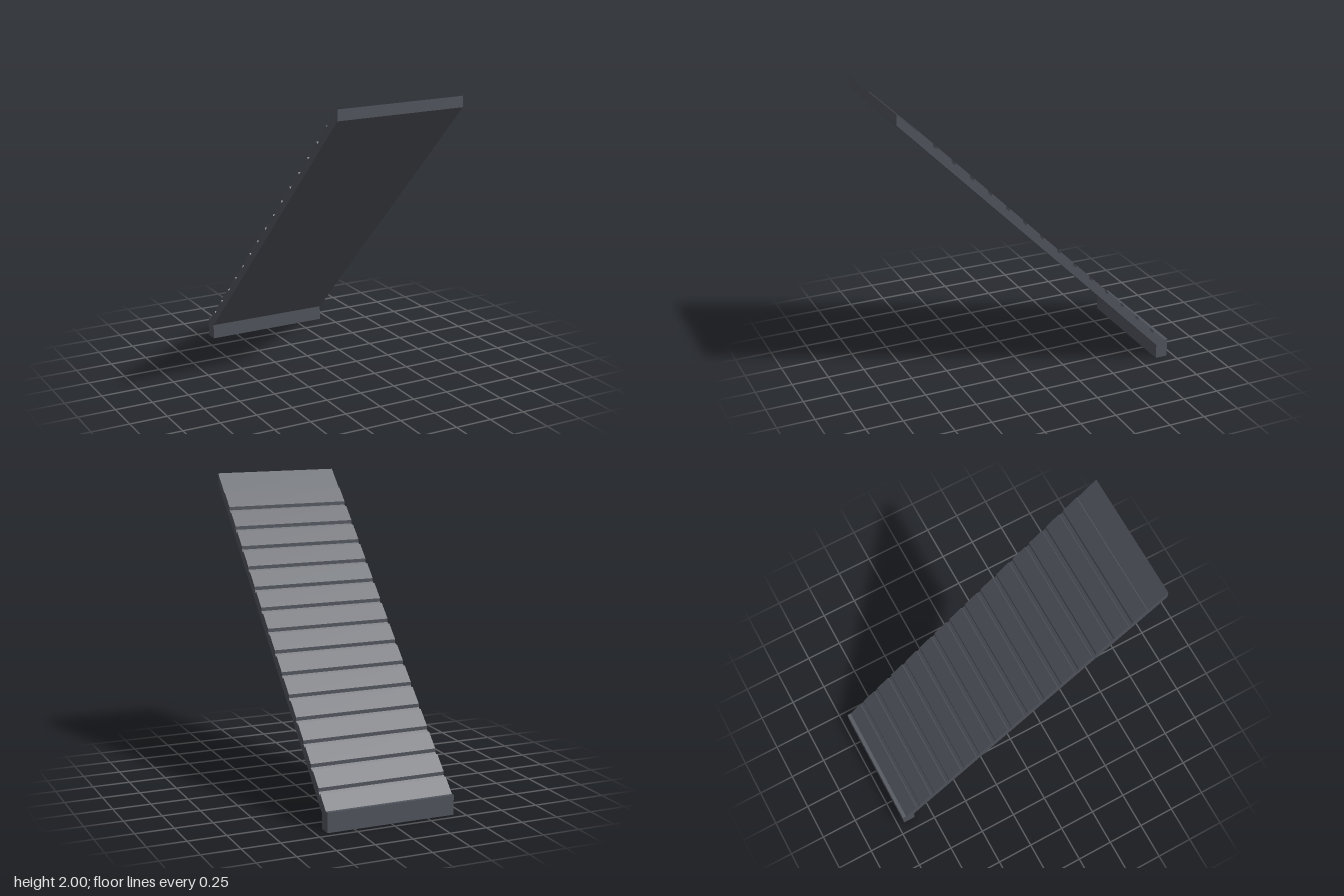
import * as THREE from 'three';

const WIDTH = 0.86;
const TREADS = 15;
const PITCH = 0.119;

// Side profile of the ramp, drawn as (z, y); every long face rises at 45 degrees.
function rampProfile() {
  const shape = new THREE.Shape();
  // footing and smooth underside
  shape.moveTo(-0.955, 0);
  shape.lineTo(-0.87, 0);
  shape.lineTo(-0.87, 0.1);
  shape.lineTo(0.955, 1.93);
  // plain landing strip at the top
  shape.lineTo(0.955, 2);
  shape.lineTo(0.828, 1.873);
  // raised treads, each followed by a shallow groove
  for (let i = 0; i < TREADS; i++) {
    const z = 0.821 - i * PITCH;
    const end = i === TREADS - 1 ? -0.93 : z - 0.09;
    shape.lineTo(z, z + 1.059);
    shape.lineTo(end, end + 1.059);
    if (i < TREADS - 1) {
      const next = z - PITCH + 0.008;
      shape.lineTo(end - 0.001, end + 1.036);
      shape.lineTo(next, next + 1.038);
    }
  }
  // flat top of the footing
  shape.lineTo(-0.955, 0.129);
  shape.closePath();
  return shape;
}

export function createModel() {
  const model = new THREE.Group();
  model.name = 'treadedRamp';

  const geometry = new THREE.ExtrudeGeometry(rampProfile(), { depth: WIDTH, bevelEnabled: false });
  geometry.translate(0, 0, -WIDTH / 2);
  geometry.rotateY(-Math.PI / 2);

  const ramp = new THREE.Mesh(geometry, new THREE.MeshStandardMaterial({ color: 0x50545c }));
  ramp.name = 'ramp';
  model.add(ramp);
  return model;
}
